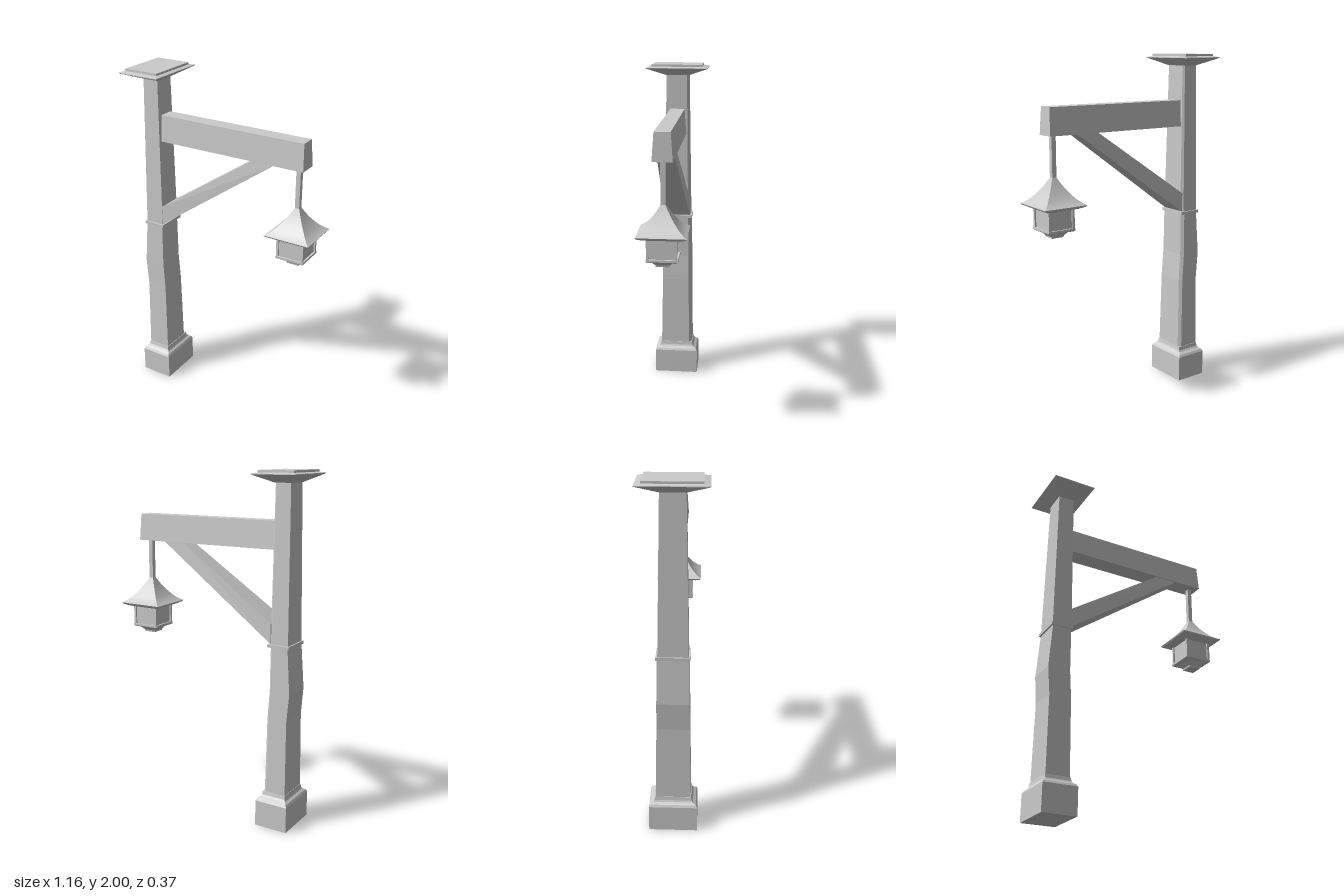
import * as THREE from 'three';

const material = new THREE.MeshStandardMaterial({ color: 0xcccccc, side: THREE.DoubleSide });

// Skin a series of matching rings ([x, y, z] corners) and close both ends.
// Sides are separate strips, so corners stay sharp when shaded smoothly.
function loft(name, rings, smooth = false) {
  const pos = [], index = [];
  const n = rings[0].length;
  for (let i = 0; i < n; i++) {
    const start = pos.length / 3;
    rings.forEach((ring, k) => {
      pos.push(...ring[i], ...ring[(i + 1) % n]);
      if (k === 0) return;
      const a = start + 2 * (k - 1);
      index.push(a, a + 1, a + 3, a, a + 3, a + 2);
    });
  }
  [rings[0], rings[rings.length - 1]].forEach((ring, end) => {
    const s = pos.length / 3;
    ring.forEach((p) => pos.push(...p));
    for (let i = 1; i < n - 1; i++) {
      index.push(s, ...(end ? [s + i, s + i + 1] : [s + i + 1, s + i]));
    }
  });
  let geometry = new THREE.BufferGeometry();
  geometry.setAttribute('position', new THREE.Float32BufferAttribute(pos, 3));
  geometry.setIndex(index);
  if (!smooth) geometry = geometry.toNonIndexed();
  geometry.computeVertexNormals();
  const mesh = new THREE.Mesh(geometry, material);
  mesh.name = name;
  return mesh;
}

// Level rectangle from x0 to x1, half depth hz; c bevels the back inner corner.
function rect(y, x0, x1, hz, c = 0) {
  const inner = c ? [[x1, y, -hz + c], [x1 - c, y, -hz]] : [[x1, y, -hz]];
  return [[x1, y, hz], ...inner, [x0, y, -hz], [x0, y, hz]];
}
const square = ([y, h]) => rect(y, -h, h, h);

function createLantern() {
  const lantern = new THREE.Group();
  lantern.name = 'lantern';
  lantern.add(loft('hangingRod', [[1.33, 0.013], [1.59, 0.013]].map(square)));
  // Flared roof with a thin eave
  lantern.add(loft('lanternRoof', [
    [1.208, 0.133], [1.22, 0.113], [1.24, 0.09], [1.265, 0.069],
    [1.295, 0.047], [1.325, 0.029], [1.355, 0.013],
  ].map(square), true));
  lantern.add(loft('lanternEave', [[1.187, 0.1], [1.2, 0.128], [1.208, 0.133]].map(square)));
  lantern.add(loft('lanternGlass', [[1.07, 0.073], [1.19, 0.073]].map(square)));
  for (const sx of [-1, 1]) {
    for (const sz of [-1, 1]) {
      const bar = loft('lanternCornerBar', [[1.07, 0.007], [1.19, 0.007]].map(square));
      bar.position.set(sx * 0.075, 0, sz * 0.075);
      lantern.add(bar);
    }
  }
  lantern.add(loft('lanternFoot', [
    [1.025, 0.036], [1.035, 0.038], [1.06, 0.06], [1.06, 0.078], [1.065, 0.084], [1.077, 0.084],
  ].map(square)));
  lantern.position.x = 0.447;
  return lantern;
}

export function createModel() {
  const model = new THREE.Group();
  model.name = 'lampPost';

  // Plinth with a rounded shoulder
  model.add(loft('plinth', [
    rect(0, -0.556, -0.36, 0.136), rect(0.152, -0.556, -0.36, 0.136),
    rect(0.165, -0.549, -0.367, 0.128), rect(0.175, -0.536, -0.38, 0.112),
    rect(0.185, -0.531, -0.385, 0.105), rect(0.205, -0.528, -0.388, 0.101),
  ]));

  // Hewn post, slightly crooked in its lower half
  model.add(loft('lowerPost', [
    rect(0.2, -0.526, -0.391, 0.098, 0.016), rect(0.64, -0.522, -0.396, 0.091, 0.016),
    rect(0.8, -0.535, -0.406, 0.089, 0.016), rect(1.06, -0.516, -0.406, 0.085, 0.016),
  ]));
  model.add(loft('collar', [
    rect(1.053, -0.525, -0.395, 0.092), rect(1.07, -0.525, -0.395, 0.092),
  ]));
  model.add(loft('upperPost', [
    rect(1.07, -0.517, -0.404, 0.082, 0.014), rect(1.945, -0.505, -0.411, 0.066, 0.01),
  ]));

  // Flared cap with a raised top plate
  model.add(loft('cap', [
    rect(1.935, -0.507, -0.408, 0.068), rect(1.978, -0.584, -0.33, 0.183),
    rect(1.982, -0.584, -0.33, 0.183), rect(1.988, -0.562, -0.352, 0.15),
    rect(2, -0.562, -0.352, 0.15),
  ]));

  // Arm, a little narrower along its top
  model.add(loft('beam', [
    rect(1.583, -0.42, 0.493, 0.054), rect(1.735, -0.42, 0.487, 0.043),
  ]));

  // Diagonal brace, tapering toward the arm
  const braceEnd = (xLow, yLow, xHigh, yHigh, hz) => [
    [xLow, yLow, hz], [xLow, yLow, -hz], [xHigh, yHigh, -hz], [xHigh, yHigh, hz],
  ];
  model.add(loft('brace', [
    braceEnd(-0.408, 1.07, -0.408, 1.183, 0.079),
    braceEnd(0.322, 1.586, 0.185, 1.586, 0.047),
  ]));

  model.add(createLantern());
  return model;
}
